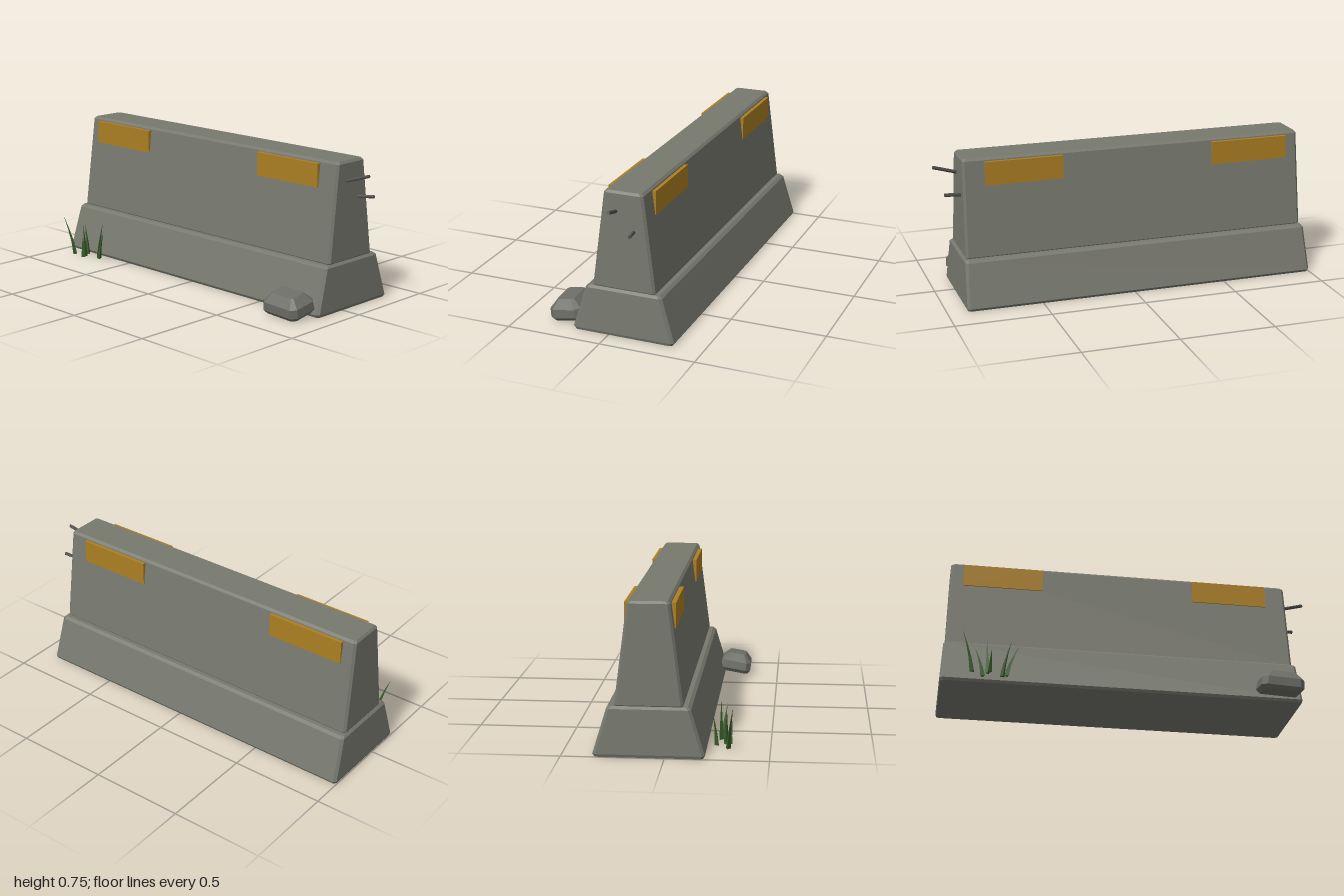
import * as THREE from 'three';

const mat = (name, color, extra = {}) =>
  Object.assign(new THREE.MeshStandardMaterial({ color, flatShading: true, ...extra }), { name });

// Closed solid through chamfered rectangles: each ring is [y, halfX, halfZ, cornerCut]
function chamferLoft(rings) {
  const loops = rings.map(([y, w, d, c]) => [
    [w, -d + c], [w, d - c], [w - c, d], [-w + c, d],
    [-w, d - c], [-w, -d + c], [-w + c, -d], [w - c, -d],
  ].map(([x, z]) => [x, y, z]));
  const pos = [];
  const tri = (a, b, c) => pos.push(...a, ...b, ...c);
  for (let r = 0; r < loops.length - 1; r++) {
    for (let i = 0; i < 8; i++) {
      const j = (i + 1) % 8, lo = loops[r], hi = loops[r + 1];
      tri(lo[i], hi[i], hi[j]);
      tri(lo[i], hi[j], lo[j]);
    }
  }
  const bottom = loops[0], top = loops[loops.length - 1];
  for (let i = 1; i < 7; i++) {
    tri(bottom[0], bottom[i], bottom[i + 1]);
    tri(top[0], top[i + 1], top[i]);
  }
  const geo = new THREE.BufferGeometry();
  geo.setAttribute('position', new THREE.Float32BufferAttribute(pos, 3));
  geo.computeVertexNormals();
  return geo;
}

// Straight hexagonal bar between two points
function rod(a, b, radius) {
  const from = new THREE.Vector3(...a), dir = new THREE.Vector3(...b).sub(from);
  const geo = new THREE.CylinderGeometry(radius, radius, dir.length(), 6);
  geo.translate(0, dir.length() / 2, 0);
  geo.applyQuaternion(new THREE.Quaternion().setFromUnitVectors(
    new THREE.Vector3(0, 1, 0), dir.clone().normalize()));
  return geo.translate(...a);
}

// Three-sided blade that leans further out towards its tip
function blade([x, y, z], [tx, ty, tz], turn) {
  const h = ty - y;
  const geo = new THREE.ConeGeometry(0.014, h, 3, 3).rotateY(turn).translate(0, h / 2, 0);
  const p = geo.attributes.position;
  for (let i = 0; i < p.count; i++) {
    const t = Math.pow(Math.max(p.getY(i) / h, 0), 1.4);
    p.setX(i, p.getX(i) + (tx - x) * t);
    p.setZ(i, p.getZ(i) + (tz - z) * t);
  }
  geo.computeVertexNormals();
  return geo.translate(x, y, z);
}

export function createModel() {
  const model = new THREE.Group();
  model.name = 'concreteBarrier';
  const concrete = mat('concrete', 0x77786e);
  const yellow = mat('yellowPaint', 0xac7f22);
  const stone = mat('stone', 0x6e6e68);
  const steel = mat('darkSteel', 0x50504e);
  const green = mat('grassGreen', 0x3a5c2c, { side: THREE.DoubleSide });
  const add = (name, geo, material, parent = model) => {
    const mesh = new THREE.Mesh(geo, material);
    mesh.name = name;
    parent.add(mesh);
    return mesh;
  };

  // Barrier body: flared foot and tapered wall
  const barrier = new THREE.Group();
  barrier.name = 'barrier';
  barrier.position.set(-0.051, 0, -0.077);
  model.add(barrier);
  add('foot', chamferLoft([
    [0, 0.944, 0.262, 0.012], [0.014, 0.949, 0.27, 0.014],
    [0.236, 0.938, 0.203, 0.014], [0.248, 0.926, 0.187, 0.01],
  ]), concrete, barrier);
  add('wall', chamferLoft([
    [0.244, 0.922, 0.162, 0.01], [0.253, 0.927, 0.166, 0.012],
    [0.743, 0.919, 0.103, 0.012], [0.755, 0.909, 0.091, 0.01],
  ]), concrete, barrier);

  // Yellow marker panels on both long sides
  for (const side of [1, -1]) {
    for (const [x0, x1] of [[-0.9, -0.475], [0.345, 0.755]]) {
      add('markerPanel', new THREE.BoxGeometry(x1 - x0, 0.122, 0.024), yellow)
        .position.set((x0 + x1) / 2, 0.676, -0.0755 + side * 0.112);
    }
  }

  // Exposed reinforcing bars on the left end
  add('upperBar', rod([0.84, 0.644, -0.036], [0.995, 0.694, -0.06], 0.009), steel);
  add('lowerBar', rod([0.84, 0.556, -0.128], [0.957, 0.57, -0.15], 0.009), steel);

  // Loose rock leaning on the foot
  const rock = add('rock', chamferLoft([
    [-0.052, 0.098, 0.074, 0.02], [-0.032, 0.114, 0.088, 0.026],
    [0.012, 0.11, 0.085, 0.026], [0.054, 0.07, 0.046, 0.01],
  ]), stone);
  rock.position.set(0.76, 0.07, 0.258);
  rock.rotation.set(0.17, 0, -0.05);

  // Grass tuft: root, tip, twist
  const grass = new THREE.Group();
  grass.name = 'grass';
  model.add(grass);
  [
    [[-0.84, 0.01, 0.295], [-0.9, 0.229, 0.321], 0.3],
    [[-0.785, 0.01, 0.24], [-0.83, 0.175, 0.222], 1.1],
    [[-0.762, 0.01, 0.282], [-0.772, 0.19, 0.285], 0.6],
    [[-0.755, 0.01, 0.3], [-0.748, 0.13, 0.312], 1.6],
    [[-0.685, 0.01, 0.252], [-0.645, 0.21, 0.25], 0.2],
    [[-0.665, 0.01, 0.262], [-0.605, 0.175, 0.28], 0.9],
  ].forEach(([root, tip, turn]) => add('blade', blade(root, tip, turn), green, grass));

  return model;
}
